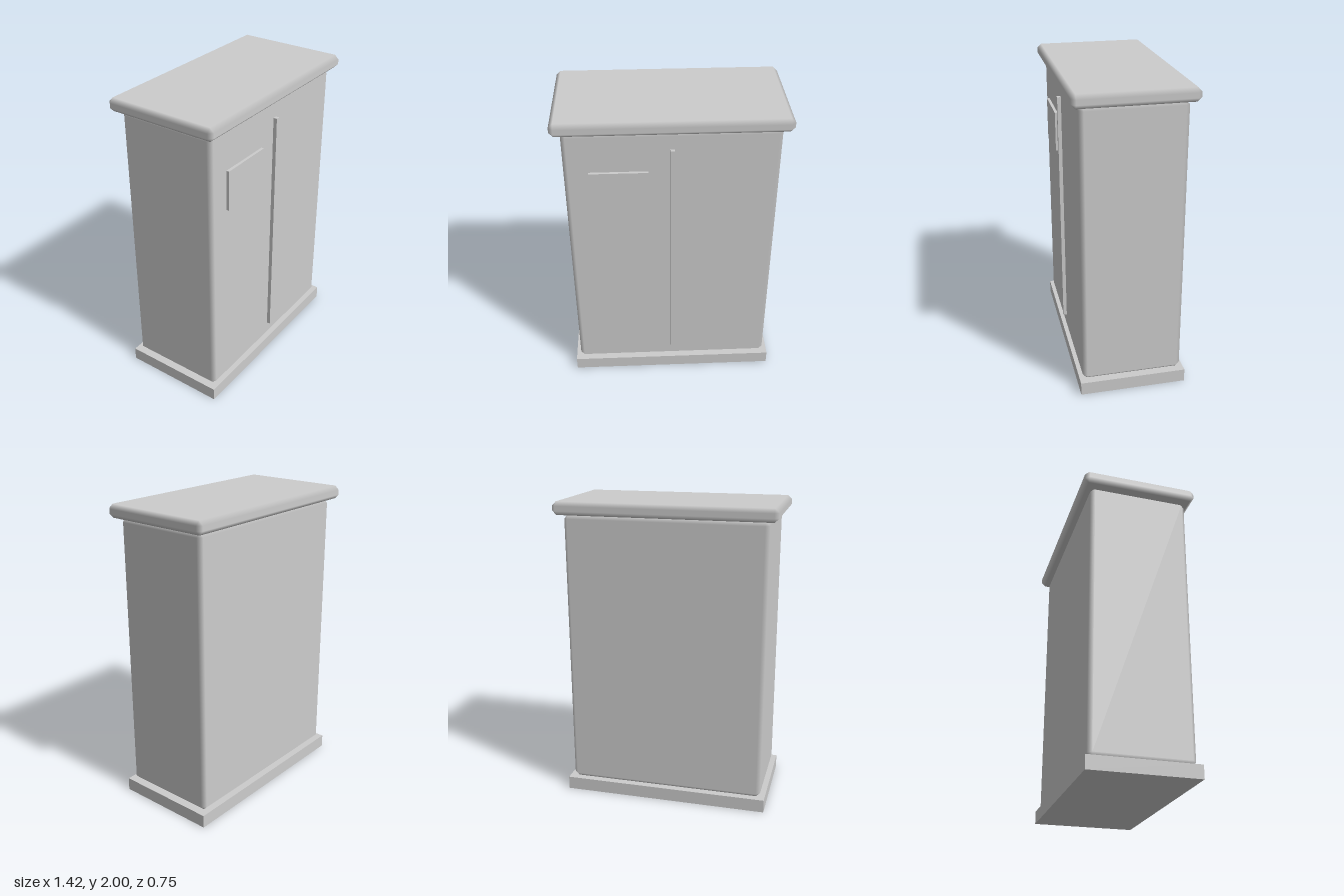
import * as THREE from 'three';

// Box whose edges carry a single chamfer, with face normals blended across it
function chamferBox(w, h, d, bevel) {
  const half = [w / 2, h / 2, d / 2];
  const positions = [], normals = [], indices = [];
  const signs = [-1, 1];
  // One vertex per corner and face direction
  const id = (axis, s) => axis * 8 + (s[0] > 0 ? 4 : 0) + (s[1] > 0 ? 2 : 0) + (s[2] > 0 ? 1 : 0);
  for (let axis = 0; axis < 3; axis++)
    for (const x of signs) for (const y of signs) for (const z of signs) {
      [x, y, z].forEach((s, i) => {
        positions.push(s * (half[i] - (i === axis ? 0 : bevel)));
        normals.push(i === axis ? s : 0);
      });
    }
  // Adds a triangle, wound so that it faces away from the centre
  const point = (i) => new THREE.Vector3().fromArray(positions, i * 3);
  const tri = (a, b, c) => {
    const A = point(a), n = point(b).sub(A).cross(point(c).sub(A));
    if (n.dot(A) > 0) indices.push(a, b, c);
    else indices.push(a, c, b);
  };
  const quad = (a, b, c, e) => { tri(a, b, c); tri(a, c, e); };

  for (let a = 0; a < 3; a++) {
    const b = (a + 1) % 3, c = (a + 2) % 3;
    const corner = (sa, sb, sc) => { const s = []; s[a] = sa; s[b] = sb; s[c] = sc; return s; };
    for (const s of signs) {
      // Flat side
      quad(id(a, corner(s, -1, -1)), id(a, corner(s, 1, -1)),
        id(a, corner(s, 1, 1)), id(a, corner(s, -1, 1)));
      // Chamfered edges running along axis c
      for (const t of signs) {
        const lo = corner(s, t, -1), hi = corner(s, t, 1);
        quad(id(a, lo), id(a, hi), id(b, hi), id(b, lo));
      }
    }
  }
  // Corner triangles
  for (const x of signs) for (const y of signs) for (const z of signs) {
    const s = [x, y, z];
    tri(id(0, s), id(1, s), id(2, s));
  }

  const geometry = new THREE.BufferGeometry();
  geometry.setAttribute('position', new THREE.Float32BufferAttribute(positions, 3));
  geometry.setAttribute('normal', new THREE.Float32BufferAttribute(normals, 3));
  geometry.setIndex(indices);
  return geometry;
}

export function createModel() {
  const group = new THREE.Group();
  const grey = new THREE.MeshStandardMaterial({ color: 0xcccccc });
  grey.name = 'light grey';

  const add = (name, geometry, x, y, z) => {
    const mesh = new THREE.Mesh(geometry, grey);
    mesh.name = name;
    mesh.position.set(x, y, z);
    group.add(mesh);
  };

  // Plinth, cabinet and overhanging lid
  add('plinth', new THREE.BoxGeometry(1.37, 0.087, 0.696), 0, 0.0435, 0);
  add('cabinet', chamferBox(1.307, 1.828, 0.652, 0.027), 0, 1.001, 0);
  add('lid', chamferBox(1.423, 0.085, 0.754, 0.027), 0, 1.9575, 0);

  // Door seam strip and sign plate on the front
  add('doorStrip', new THREE.BoxGeometry(0.027, 1.605, 0.03), 0, 0.998, 0.335);
  add('signPlate', new THREE.BoxGeometry(0.362, 0.262, 0.03), -0.324, 1.522, 0.33);

  return group;
}
